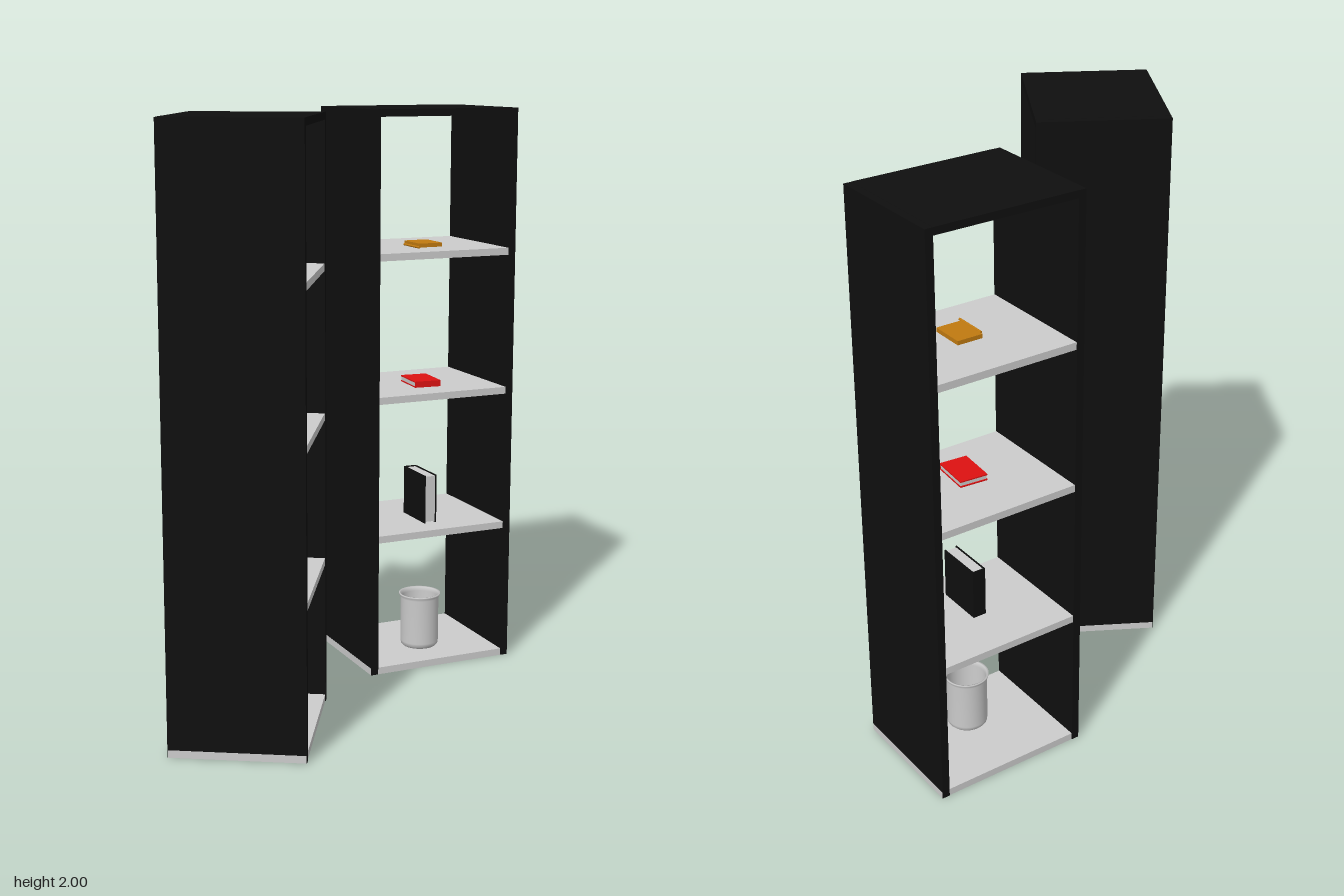
import * as THREE from 'three';

const W = 0.555, D = 0.445, T = 0.027, H = 2, SHELF = 0.025;
const mat = (color, side = THREE.FrontSide) => new THREE.MeshStandardMaterial({ color, side, roughness: 0.8 });
const grey = mat(0xcccccc), glass = mat(0xcccccc, THREE.DoubleSide);
const black = mat(0x0f0f0f), red = mat(0xdd1111), orange = mat(0xc07a10);

function add(parent, name, geometry, material, x = 0, y = 0, z = 0) {
  const m = new THREE.Mesh(geometry, material);
  m.name = name;
  m.position.set(x, y, z);
  parent.add(m);
  return m;
}
const box = (p, n, w, h, d, m, x, y, z) => add(p, n, new THREE.BoxGeometry(w, h, d), m, x, y, z);
const cyl = (p, n, r1, r2, h, m, x, y, z) => add(p, n, new THREE.CylinderGeometry(r1, r2, h, 24), m, x, y, z);
const v3 = (a) => new THREE.Vector3(...a);
const tube = (p, n, pts, r, m) =>
  add(p, n, new THREE.TubeGeometry(new THREE.CatmullRomCurve3(pts.map(v3)), 24, r, 8), m);
const lathe = (p, n, pts) =>
  add(p, n, new THREE.LatheGeometry(pts.map(([x, y]) => new THREE.Vector2(x, y)), 40), glass);

function group(parent, name, x, y, z, ry = 0) {
  const g = new THREE.Group();
  g.name = name;
  g.position.set(x, y, z);
  g.rotation.y = ry;
  parent.add(g);
  return g;
}

// Open cabinet: side panels, top, base plate and three shelves
function cabinet(root, name, side) {
  const g = group(root, name, side * 0.487, 0, 0, -side * Math.PI / 6);
  for (const s of [-1, 1]) box(g, 'sidePanel', T, H - 0.001, D, black, s * (W - T) / 2, H / 2, 0);
  box(g, 'topPanel', W - 2 * T, SHELF, D, black, 0, H - SHELF / 2, 0);
  box(g, 'basePlate', W + 0.001, SHELF, D - 0.004, grey, 0, SHELF / 2, 0);
  for (const y of [0.5, 1, 1.5]) box(g, 'shelf', W - 2 * T, SHELF, D - 0.004, grey, 0, y, 0);
  return g;
}

function conicalFlask(p) {
  const g = group(p, 'conicalFlask', 0, SHELF, 0.035);
  lathe(g, 'flaskBody', [[0, 0], [0.058, 0], [0.07, 0.008], [0.073, 0.022], [0.07, 0.045], [0.055, 0.105],
    [0.037, 0.18], [0.032, 0.2], [0.03, 0.262], [0.036, 0.267], [0.036, 0.273], [0.03, 0.273],
    [0.026, 0.262], [0.027, 0.2], [0.05, 0.105], [0.066, 0.03], [0.055, 0.006], [0, 0.006]]);
}

function roundFlask(p) {
  const g = group(p, 'roundFlask', 0, 1.0125, 0.035);
  const pts = [[0, 0]];
  for (let i = 0; i <= 18; i++) {
    const a = -1.15 + i * (1.15 + 1.12) / 18;
    pts.push([0.054 * Math.cos(a), 0.05 + 0.054 * Math.sin(a)]);
  }
  pts.push([0.021, 0.11], [0.021, 0.16], [0.025, 0.163], [0.025, 0.168], [0.021, 0.168], [0.018, 0.16], [0.018, 0.1]);
  lathe(g, 'flaskBody', pts);
}

function beaker(p) {
  const g = group(p, 'beaker', 0, SHELF, 0.05);
  lathe(g, 'beakerBody', [[0, 0], [0.06, 0], [0.068, 0.008], [0.07, 0.02], [0.07, 0.185], [0.076, 0.195],
    [0.076, 0.201], [0.07, 0.2], [0.066, 0.185], [0.066, 0.02], [0.058, 0.006], [0, 0.006]]);
}

function microscope(p) {
  const g = group(p, 'microscope', 0, 0.5125, 0.035);
  // Horseshoe base with two feet
  box(g, 'baseHeel', 0.07, 0.028, 0.1, grey, 0.055, 0.014, 0);
  for (const s of [-1, 1]) box(g, 'baseFoot', 0.11, 0.026, 0.034, grey, -0.035, 0.013, s * 0.033);
  // Tapered pillar
  const pillar = new THREE.Shape([[0.02, 0.028], [0.088, 0.028], [0.08, 0.1], [0.045, 0.1]].map((a) => new THREE.Vector2(...a)));
  add(g, 'pillar', new THREE.ExtrudeGeometry(pillar, { depth: 0.036, bevelEnabled: false }), black, 0, 0, -0.018);
  // Curved arm
  const arm = new THREE.Shape();
  arm.moveTo(0.048, 0.075);
  arm.lineTo(0.08, 0.075);
  arm.bezierCurveTo(0.098, 0.14, 0.105, 0.23, 0.068, 0.29);
  arm.quadraticCurveTo(0.045, 0.31, 0.015, 0.3);
  arm.lineTo(0.015, 0.26);
  arm.bezierCurveTo(0.06, 0.25, 0.068, 0.17, 0.048, 0.075);
  add(g, 'arm', new THREE.ExtrudeGeometry(arm, { depth: 0.024, bevelEnabled: false, curveSegments: 16 }), grey, 0, 0, -0.012);
  for (const [x, y, r] of [[0.053, 0.275, 0.026], [0.065, 0.09, 0.016]])
    for (const s of [-1, 1]) cyl(g, 'focusKnob', r, r, 0.02, black, x, y, s * 0.026).rotation.x = Math.PI / 2;
  // Optical tube and eyepiece
  cyl(g, 'bodyTube', 0.022, 0.022, 0.1, black, -0.013, 0.29, 0);
  cyl(g, 'drawTube', 0.014, 0.014, 0.05, black, -0.013, 0.36, 0);
  cyl(g, 'eyepiece', 0.017, 0.017, 0.02, black, -0.013, 0.392, 0);
  // Tilted nosepiece with three objectives
  const nose = group(g, 'nosepiece', -0.02, 0.233, 0);
  nose.rotation.z = -0.3;
  cyl(nose, 'turret', 0.024, 0.034, 0.02, black);
  for (let i = 0; i < 3; i++) {
    const a = i * Math.PI * 2 / 3;
    const holder = group(nose, 'objective', 0.02 * Math.cos(a), -0.026, 0.02 * Math.sin(a), -a);
    holder.rotation.z = 0.35;
    cyl(holder, 'objectiveBarrel', 0.01, 0.007, 0.042, black);
  }
  // Stage with condenser below
  box(g, 'stage', 0.1, 0.01, 0.1, black, -0.015, 0.158, 0);
  box(g, 'stageBracket', 0.04, 0.016, 0.03, black, 0.045, 0.155, 0);
  cyl(g, 'condenser', 0.014, 0.018, 0.02, grey, -0.015, 0.143, 0);
}

function glasses(p) {
  const g = group(p, 'safetyGlasses', 0.02, 1.5125, 0.05, 0.32);
  // Two wrapped lenses, brow frame, bridge and temples
  for (const s of [-1, 1]) {
    const lens = new THREE.Shape();
    lens.moveTo(s * 0.006, 0.044);
    lens.lineTo(s * 0.068, 0.046);
    lens.quadraticCurveTo(s * 0.066, 0.008, s * 0.04, 0.003);
    lens.quadraticCurveTo(s * 0.014, 0.004, s * 0.006, 0.044);
    const geo = new THREE.ShapeGeometry(lens, 12);
    const pos = geo.attributes.position;
    for (let i = 0; i < pos.count; i++) pos.setZ(i, -4 * pos.getX(i) ** 2);
    geo.computeVertexNormals();
    add(g, 'lens', geo, glass);
    tube(g, 'temple', [[s * 0.068, 0.045, -0.018], [s * 0.07, 0.042, -0.06], [s * 0.068, 0.034, -0.105],
      [s * 0.066, 0.006, -0.13]], 0.0035, black);
  }
  tube(g, 'browFrame', [[-0.07, 0.046, -0.019], [-0.035, 0.048, -0.005], [0, 0.044, 0], [0.035, 0.048, -0.005],
    [0.07, 0.046, -0.019]], 0.0035, black);
}

// Book standing on end or lying flat: two covers, spine and page block
function book(p, name, w, h, d, cover, x, y, z, ry) {
  const g = group(p, name, x, y, z, ry);
  const c = 0.004;
  for (const s of [-1, 1]) box(g, 'cover', c, h, d, cover, s * (w - c) / 2, h / 2, 0);
  box(g, 'spine', w - 2 * c, h, c, cover, 0, h / 2, -(d - c) / 2);
  box(g, 'pages', w - 2 * c, h - 0.008, d - 2 * c, grey, 0, h / 2, 0);
  return g;
}

export function createModel() {
  const root = new THREE.Group();
  root.name = 'laboratoryShelves';

  const right = cabinet(root, 'rightCabinet', -1);
  conicalFlask(right);
  microscope(right);
  roundFlask(right);
  glasses(right);

  const left = cabinet(root, 'leftCabinet', 1);
  beaker(left);
  book(left, 'standingBook', 0.048, 0.177, 0.17, black, 0, 0.5125, 0.045, 0);

  // Flat red book, spine to the front
  const flat = group(left, 'flatBook', 0, 1.0125, 0.04, -0.08);
  for (const y of [0.002, 0.02]) box(flat, 'cover', 0.098, 0.004, 0.14, red, 0, y, 0);
  box(flat, 'spine', 0.098, 0.02, 0.004, red, 0, 0.011, 0.068);
  box(flat, 'pages', 0.094, 0.014, 0.132, grey, 0, 0.011, 0);

  // Notepad and pencil
  const pad = group(left, 'notepad', 0.01, 1.5125, 0.03);
  box(pad, 'padBody', 0.09, 0.014, 0.12, orange, 0, 0.007, 0);
  cyl(pad, 'pencil', 0.004, 0.004, 0.12, orange, -0.06, 0.004, 0.03).rotation.x = Math.PI / 2;
  return root;
}
